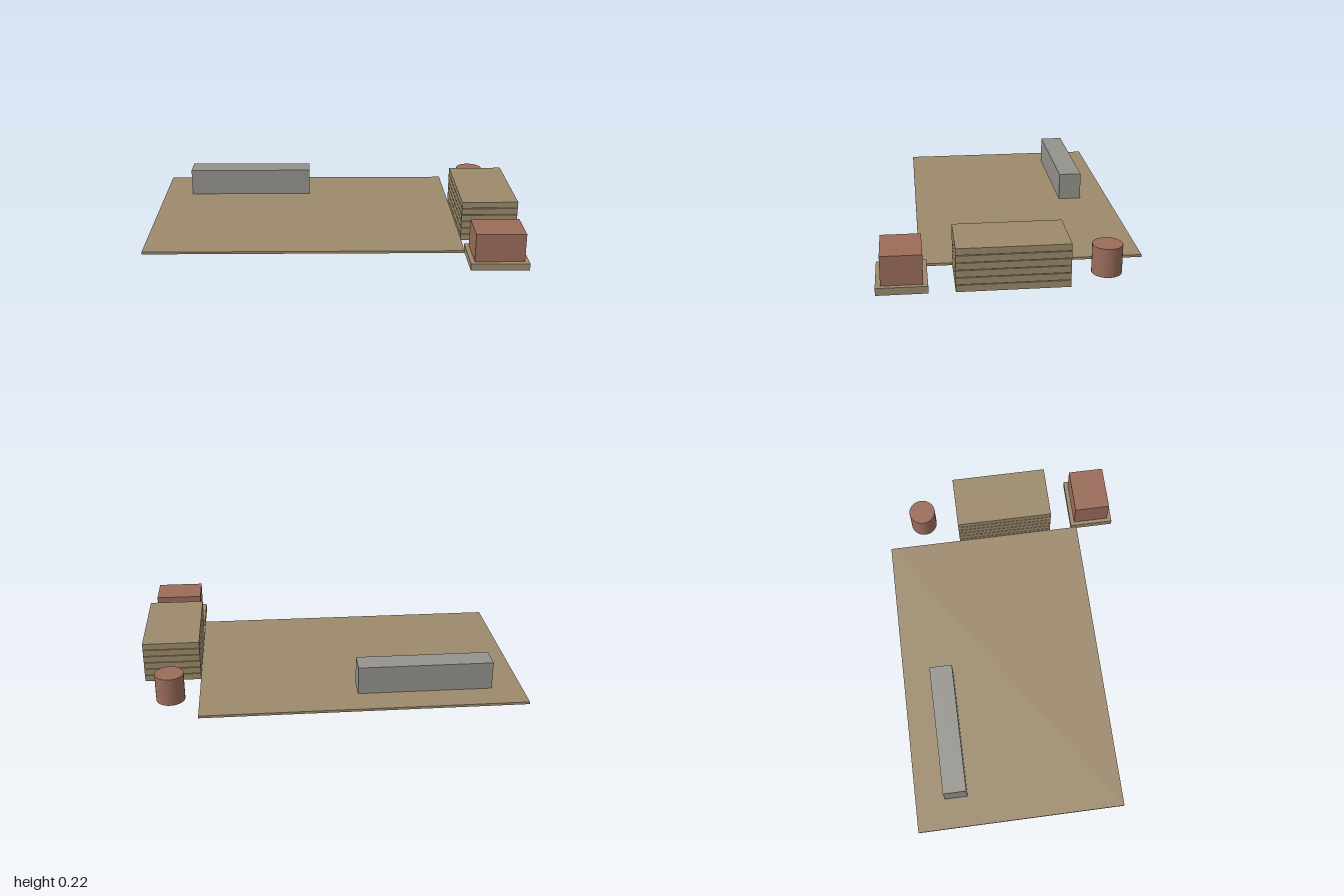
import * as THREE from 'three';

export function createModel() {
  const group = new THREE.Group();
  const material = (name, color) => {
    const m = new THREE.MeshStandardMaterial({ color });
    m.name = name;
    return m;
  };
  const tan = material('tan', 0x9c8a6c);
  const clay = material('clay', 0x9a6c5a);
  const grey = material('grey', 0x94928c);

  // Box given by its extents on each axis
  const box = (name, mat, [x0, x1], [y0, y1], [z0, z1], parent = group) => {
    const mesh = new THREE.Mesh(new THREE.BoxGeometry(x1 - x0, y1 - y0, z1 - z0), mat);
    mesh.position.set((x0 + x1) / 2, (y0 + y1) / 2, (z0 + z1) / 2);
    mesh.name = name;
    parent.add(mesh);
  };

  // Ground slab and long wall block
  box('groundSlab', tan, [-1, 0.7], [0, 0.013], [-0.67, 0.455]);
  box('wallBlock', grey, [-0.838, -0.127], [0.002, 0.164], [-0.51, -0.385]);

  // Stack of six boards with narrow gaps
  const stack = new THREE.Group();
  stack.name = 'boardStack';
  group.add(stack);
  for (let i = 0; i < 6; i++) {
    const y = i * 0.0375;
    box(`board${i + 1}`, tan, [0.7, 1], [y, y + 0.034], [-0.255, 0.292], stack);
  }

  // Crate on its pallet
  box('pallet', tan, [0.7, 1], [0, 0.0375], [0.42, 0.668]);
  box('crate', clay, [0.722, 0.977], [0.0375, 0.188], [0.443, 0.643]);

  // Barrel
  const barrel = new THREE.Mesh(new THREE.CylinderGeometry(0.075, 0.075, 0.15, 32), clay);
  barrel.position.set(0.85, 0.075, -0.457);
  barrel.name = 'barrel';
  group.add(barrel);

  return group;
}
